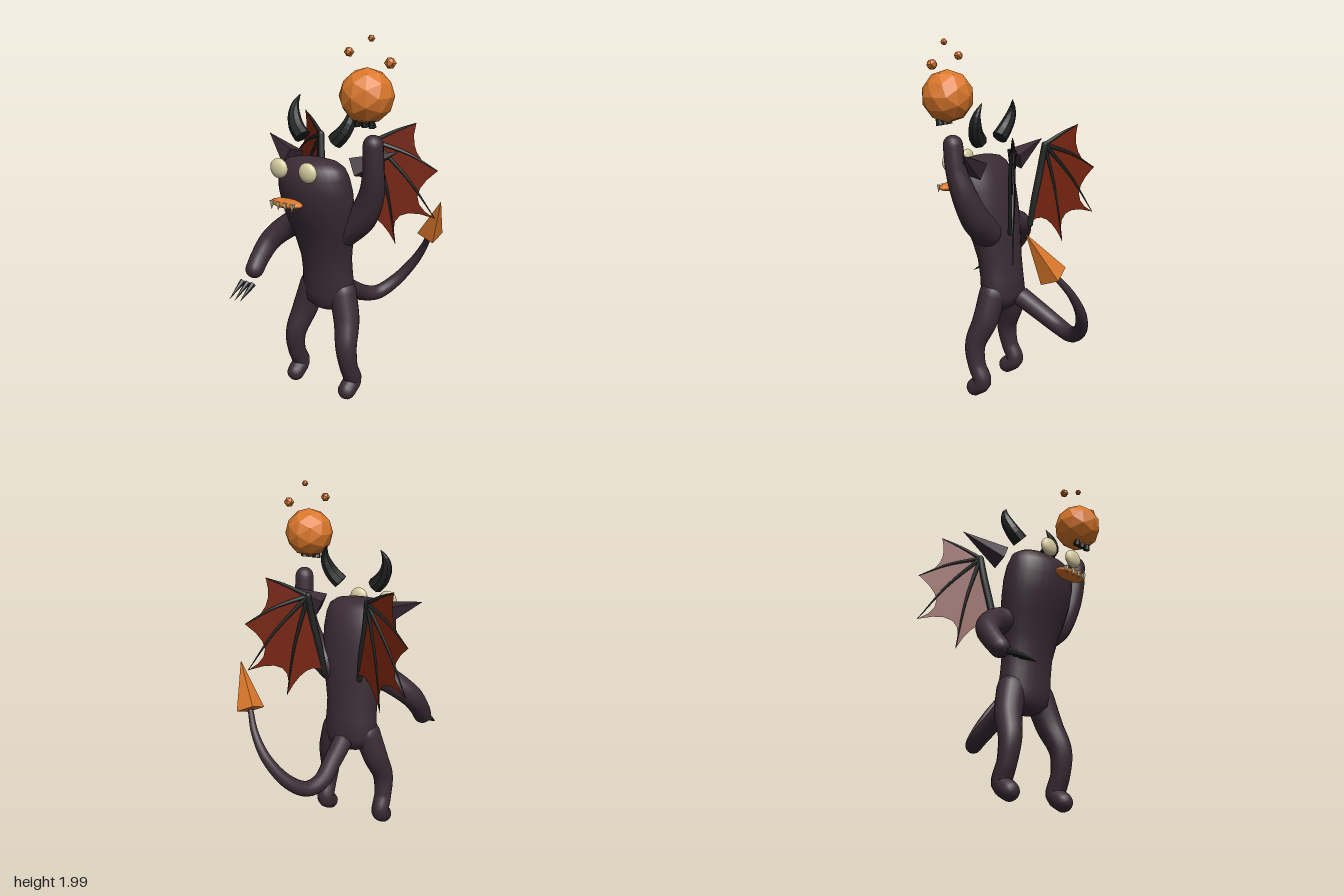
import * as THREE from 'three';

const mat = (name, color) => {
  const m = new THREE.MeshStandardMaterial({ color });
  m.name = name;
  return m;
};

const V = (x, y, z) => new THREE.Vector3(x, y, z);

// Closed smooth skin over rings [centre, u, v], where u x v points along the loft
function skin(rings, sides) {
  const pos = [], idx = [];
  rings.forEach(([c, u, v], i) => {
    for (let j = 0; j < sides; j++) {
      const a = (j / sides) * Math.PI * 2;
      const p = c.clone().addScaledVector(u, Math.cos(a)).addScaledVector(v, Math.sin(a));
      pos.push(p.x, p.y, p.z);
      if (i < rings.length - 1) {
        const k = (j + 1) % sides, A = i * sides, B = A + sides;
        idx.push(A + j, A + k, B + j, A + k, B + k, B + j);
      }
    }
  });
  const g = new THREE.BufferGeometry();
  g.setAttribute('position', new THREE.Float32BufferAttribute(pos, 3));
  g.setIndex(idx);
  g.computeVertexNormals();
  return g;
}

// Tapered tube through points [x, y, z, radius]; ends are flat or rounded
function limb(pts, { steps = 28, sides = 16, round = true } = {}) {
  const curve = new THREE.CatmullRomCurve3(pts.map((p) => V(p[0], p[1], p[2])));
  const { tangents, normals, binormals } = curve.computeFrenetFrames(steps);
  const rings = [];
  const add = (i, r, off) => rings.push([
    curve.getPointAt(i / steps).addScaledVector(tangents[i], off),
    normals[i].clone().multiplyScalar(r), binormals[i].clone().multiplyScalar(r)]);
  const cap = (i, r, s) => {
    for (let k = 0; k < 5; k++) {
      const a = ((s < 0 ? k : 4 - k) / 5) * Math.PI / 2;
      add(i, Math.max(r * Math.sin(a), 1e-4), round ? s * r * Math.cos(a) : 0);
    }
  };
  cap(0, pts[0][3], -1);
  for (let i = 0; i <= steps; i++) {
    const f = curve.getUtoTmapping(i / steps) * (pts.length - 1);
    const k = Math.min(Math.floor(f), pts.length - 2);
    add(i, THREE.MathUtils.lerp(pts[k][3], pts[k + 1][3], f - k), 0);
  }
  cap(steps, pts[pts.length - 1][3], 1);
  return skin(rings, sides);
}

function faceted(g) {
  const n = g.index ? g.toNonIndexed() : g;
  n.computeVertexNormals();
  return n;
}

// Faceted spike from a base centre to a tip
function spike(base, tip, r, sides = 4, turn = Math.PI / 4) {
  const a = V(...base), d = V(...tip).sub(a), h = d.length();
  const g = new THREE.ConeGeometry(r, h, sides).rotateY(turn).translate(0, h / 2, 0);
  g.applyQuaternion(new THREE.Quaternion().setFromUnitVectors(V(0, 1, 0), d.normalize()));
  return faceted(g.translate(a.x, a.y, a.z));
}

export function createModel() {
  const hide = mat('dark plum skin', 0x3b2c35);
  const black = mat('black horn', 0x202322);
  const orange = mat('orange fire', 0xdb782b);
  const cream = mat('cream bone', 0xd8cea2);
  const red = mat('rust membrane', 0x76240f);
  red.side = THREE.DoubleSide;

  const root = new THREE.Group();
  root.name = 'wingedImp';
  const add = (parent, name, geo, m) => {
    const mesh = new THREE.Mesh(geo, m);
    mesh.name = name;
    parent.add(mesh);
    return mesh;
  };
  const cx = -0.008;

  // Torso and head: [y, half width, back z, front z]
  const torso = [
    [0.5, 0.001, 0.11, 0.112], [0.505, 0.08, 0.06, 0.17], [0.54, 0.14, 0.015, 0.205],
    [0.6, 0.163, -0.008, 0.21], [0.7, 0.152, 0, 0.22], [0.8, 0.152, 0.01, 0.235],
    [0.9, 0.172, 0.02, 0.262], [1.0, 0.196, 0.03, 0.3], [1.1, 0.212, 0.045, 0.343],
    [1.2, 0.216, 0.062, 0.368], [1.28, 0.208, 0.09, 0.368], [1.33, 0.19, 0.122, 0.342],
    [1.358, 0.15, 0.155, 0.31], [1.37, 0.09, 0.19, 0.275], [1.373, 0.001, 0.23, 0.232],
  ];
  add(root, 'torso', skin(torso.map(([y, w, b, f]) =>
    [V(cx, y, (b + f) / 2), V(0, 0, (f - b) / 2), V(w, 0, 0)]), 28), hide);

  // Lowered right arm and raised left arm
  add(root, 'rightArm', limb([[-0.13, 0.98, 0.13, 0.08], [-0.24, 0.945, 0.13, 0.07],
    [-0.345, 0.85, 0.19, 0.062], [-0.37, 0.76, 0.26, 0.055], [-0.37, 0.7, 0.31, 0.052]]), hide);
  add(root, 'leftArm', limb([[0.12, 0.97, 0.13, 0.085], [0.225, 1.06, 0.13, 0.08],
    [0.3, 1.2, 0.15, 0.068], [0.33, 1.34, 0.18, 0.055], [0.335, 1.47, 0.193, 0.052]]), hide);
  for (const i of [-1, 0, 1]) {
    add(root, 'rightClaw', spike([-0.348 + i * 0.037, 0.65, 0.393],
      [-0.348 + i * 0.037, 0.582, 0.503], 0.018, 6, 0), black);
    add(root, 'leftClaw', spike([0.325 + i * 0.042, 1.57, 0.25],
      [0.325 + i * 0.042, 1.69, 0.28], 0.02, 6, 0), black);
  }

  // Fireball with floating embers
  for (const [name, x, y, r, detail] of [['fireball', 0.32, 1.715, 0.135, 1],
    ['ember', 0.215, 1.916, 0.025, 0], ['ember', 0.342, 1.984, 0.018, 0], ['ember', 0.448, 1.876, 0.029, 0]]) {
    const g = faceted(new THREE.IcosahedronGeometry(r, detail));
    add(root, name, g.translate(x, y, 0.23), orange);
  }

  // Tail and its pointed tip
  add(root, 'tail', limb([[-0.012, 0.585, -0.012, 0.056], [-0.012, 0.52, -0.13, 0.052],
    [-0.008, 0.45, -0.26, 0.047], [0.03, 0.435, -0.35, 0.043], [0.1, 0.5, -0.435, 0.037],
    [0.2, 0.635, -0.482, 0.028], [0.28, 0.76, -0.462, 0.02], [0.34, 0.86, -0.405, 0.015]],
  { steps: 40, round: false }), hide);
  add(root, 'tailTip', spike([0.345, 0.86, -0.397], [0.458, 1.09, -0.303], 0.075), orange);

  // Mouth and teeth
  const mouth = new THREE.SphereGeometry(1, 20, 12).scale(0.098, 0.024, 0.044);
  add(root, 'mouth', mouth.translate(cx, 1.177, 0.45), orange);
  for (let i = 0; i < 4; i++) {
    const x = cx - 0.064 + i * 0.043;
    add(root, 'tooth', spike([x, 1.19, 0.486], [x, 1.146, 0.492], 0.014), cream);
  }

  // Wing outline points and finger tips, seen from the front
  const wrist = [0.175, 1.43];
  const tips = [[0.37, 1.53], [0.475, 1.275], [0.47, 1.01], [0.285, 0.86]];
  const dips = [[0.375, 1.375], [0.385, 1.13], [0.305, 1.02], [0.19, 1.0]];
  const depth = (x) => -0.025 - (x - 0.1) * 0.56;
  const web = new THREE.Shape();
  web.moveTo(0.1, 1.0);
  web.lineTo(...wrist);
  web.lineTo(...tips[0]);
  dips.forEach((d, i) => {
    const end = tips[i + 1] || [0.1, 1.0];
    const ctl = [0, 1].map((k) => 2 * d[k] - (tips[i][k] + end[k]) / 2);
    web.quadraticCurveTo(...ctl, ...end);
  });
  const webGeo = new THREE.ShapeGeometry(web, 6);
  const wp = webGeo.attributes.position;
  for (let i = 0; i < wp.count; i++) wp.setZ(i, depth(wp.getX(i)));
  webGeo.computeVertexNormals();

  // Paired parts, mirrored about the middle
  for (const s of [1, -1]) {
    const side = new THREE.Group();
    side.name = s > 0 ? 'leftSide' : 'rightSide';
    side.position.x = cx;
    side.scale.x = s;
    root.add(side);

    add(side, 'leg', limb([[0.1, 0.61, 0.11, 0.078], [0.145, 0.46, 0.135, 0.072],
      [0.176, 0.32, 0.182, 0.059], [0.184, 0.2, 0.168, 0.05], [0.184, 0.105, 0.132, 0.052],
      [0.182, 0.06, 0.183, 0.05]], { steps: 36 }), hide);

    const eye = new THREE.SphereGeometry(1, 20, 14).scale(0.054, 0.052, 0.027);
    add(side, 'eye', eye.translate(0.092, 1.334, 0.395), cream);
    add(side, 'ear', spike([0.205, 1.33, 0.145], [0.425, 1.432, 0.08], 0.068), hide);

    add(side, 'horn', faceted(limb([[0.105, 1.462, 0.185, 0.045], [0.15, 1.505, 0.177, 0.042],
      [0.18, 1.565, 0.16, 0.034], [0.183, 1.62, 0.145, 0.02], [0.16, 1.672, 0.13, 0.002]],
    { steps: 10, sides: 8, round: false })), black);

    add(side, 'wingMembrane', webGeo, red);
    add(side, 'wingArm', limb([[0.108, 0.98, -0.012, 0.017], [0.128, 1.13, -0.03, 0.02],
      [0.16, 1.3, -0.05, 0.02], [...wrist, depth(wrist[0]), 0.018]], { steps: 12, sides: 8 }), black);
    tips.forEach(([x, y], i) => {
      const mx = (wrist[0] + x) / 2 + 0.012, my = (wrist[1] + y) / 2 + 0.012;
      add(side, 'wingFinger', limb([[...wrist, depth(wrist[0]), 0.013], [mx, my, depth(mx), 0.008],
        [x, y, depth(x), 0.002]], { steps: 10, sides: 6, round: false }), black);
    });
  }
  return root;
}
